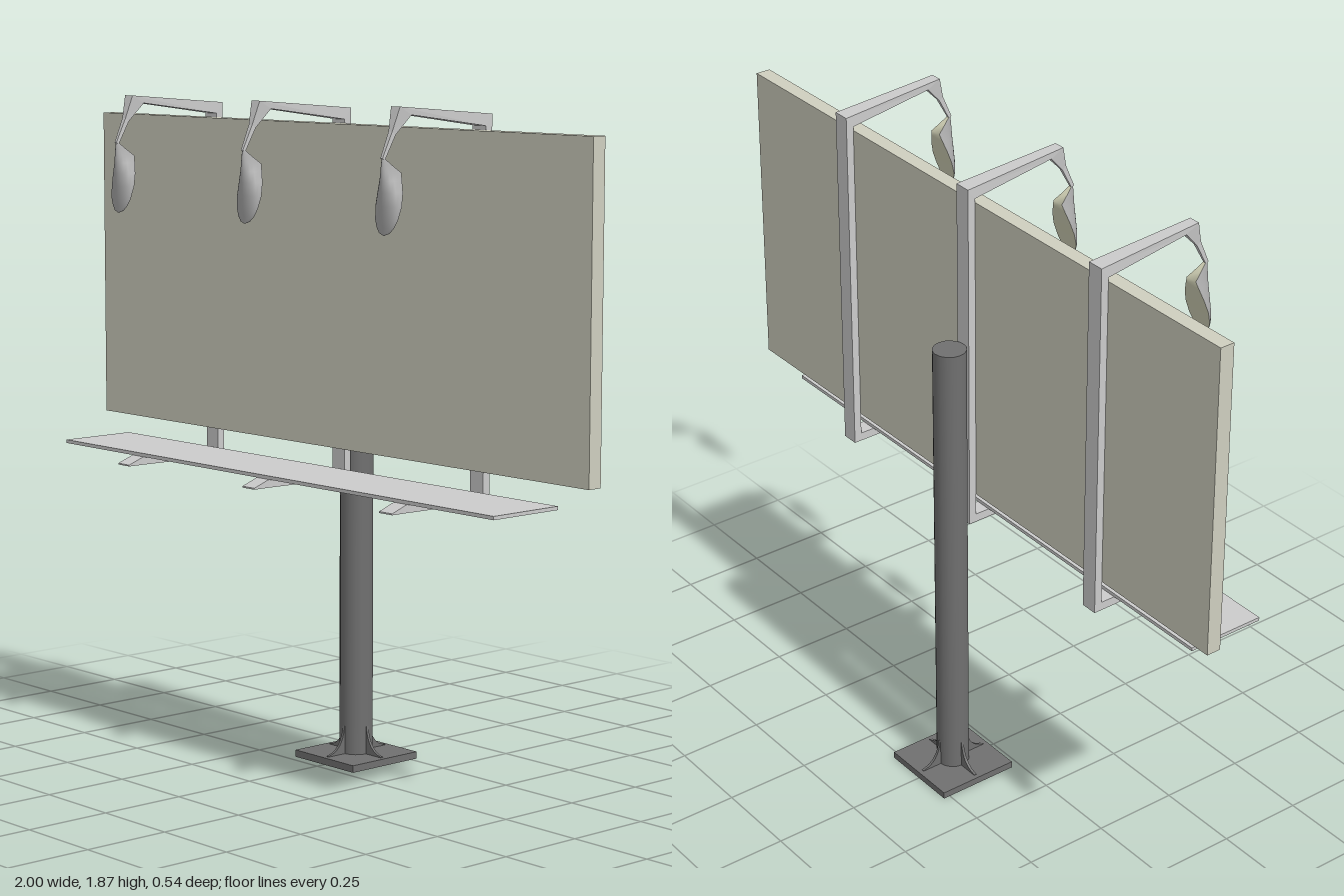
import * as THREE from 'three';

const PANEL_Z = -0.058, POLE_Z = -0.148;
const material = (color, extra = {}) => new THREE.MeshStandardMaterial({ color, ...extra });

// Skin a row of cross-sections, each a list of [x, y, z] points running counterclockwise
function loft(sections, closed) {
  const n = sections[0].length, index = [];
  for (let i = 0; i < sections.length - 1; i++) {
    for (let j = 0; j < (closed ? n : n - 1); j++) {
      const k = (j + 1) % n;
      const a = i * n + j, b = i * n + k, c = b + n, d = a + n;
      index.push(a, b, c, a, c, d);
    }
  }
  if (closed) {
    const last = (sections.length - 1) * n;
    for (let j = 1; j < n - 1; j++) index.push(0, j + 1, j, last, last + j, last + j + 1);
  }
  const geometry = new THREE.BufferGeometry();
  geometry.setAttribute('position', new THREE.Float32BufferAttribute(sections.flat(2), 3));
  geometry.setIndex(index);
  geometry.computeVertexNormals();
  return geometry;
}

export function createModel() {
  const model = new THREE.Group();
  model.name = 'billboard';
  const steel = material(0xcccccc, { flatShading: true });
  const dark = material(0x707070);
  const lampMat = material(0xaaaaaa, { side: THREE.DoubleSide });
  const lensMat = material(0xcfcfb4, { side: THREE.DoubleSide });

  const add = (parent, name, geometry, mat, x = 0, y = 0, z = 0) => {
    const mesh = new THREE.Mesh(geometry, mat);
    mesh.name = name;
    mesh.position.set(x, y, z);
    parent.add(mesh);
    return mesh;
  };

  // Display board and walkway
  add(model, 'board', new THREE.BoxGeometry(2, 0.895, 0.043), material(0xcfcfbf), 0, 1.3525, PANEL_Z);
  add(model, 'walkway', new THREE.BoxGeometry(1.784, 0.01, 0.232), steel, 0, 0.845, 0.08);

  // Pole on a square foot plate
  add(model, 'pole', new THREE.CylinderGeometry(0.047, 0.047, 1.365, 16), dark, 0, 0.6925, POLE_Z);
  add(model, 'footPlate', new THREE.BoxGeometry(0.244, 0.02, 0.244), dark, 0, 0.01, POLE_Z);

  // Four curved gussets around the foot of the pole
  const gusset = new THREE.Shape();
  gusset.moveTo(0.04, 0.018);
  gusset.lineTo(0.108, 0.018);
  gusset.lineTo(0.108, 0.022);
  gusset.quadraticCurveTo(0.055, 0.03, 0.047, 0.1);
  gusset.lineTo(0.04, 0.1);
  const gussetGeo = new THREE.ExtrudeGeometry(gusset, { depth: 0.008, bevelEnabled: false, curveSegments: 8 });
  gussetGeo.translate(0, 0, -0.004);
  for (let i = 0; i < 4; i++) {
    add(model, 'gusset', gussetGeo, dark, 0, 0, POLE_Z).rotation.y = i * Math.PI / 2;
  }

  // Bracket: walkway support, upright, top arm and tapering neck in one strip
  // [outer z, outer y, inner z, inner y, half width]
  const bracketGeo = loft([
    [0.25, 0.818, 0.25, 0.822, 0.025],
    [0.2, 0.818, 0.2, 0.84, 0.025],
    [-0.102, 0.815, -0.079, 0.84, 0.025],
    [-0.102, 1.842, -0.079, 1.811, 0.025],
    [0.22, 1.868, 0.18, 1.846, 0.017],
    [0.238, 1.805, 0.226, 1.796, 0.007],
    [0.269, 1.737, 0.26, 1.733, 0.004],
  ].map(([oz, oy, iz, iy, w]) => [[w, oy, oz], [-w, oy, oz], [-w, iy, iz], [w, iy, iz]]), true);

  // Teardrop lamp: domed shell in front, flat lens facing the board
  // [y, half width, lens z, shell z]
  const lampRows = [
    [1.54, 0.001, 0.26, 0.261],
    [1.546, 0.019, 0.258, 0.262],
    [1.56, 0.032, 0.254, 0.263],
    [1.58, 0.041, 0.249, 0.265],
    [1.615, 0.045, 0.239, 0.267],
    [1.65, 0.038, 0.229, 0.269],
    [1.68, 0.026, 0.221, 0.27],
    [1.7, 0.018, 0.216, 0.27],
    [1.72, 0.01, 0.241, 0.269],
    [1.74, 0.003, 0.264, 0.267],
  ];
  const steps = 12;
  const shellGeo = loft(lampRows.map(([y, w, back, front]) =>
    Array.from({ length: steps + 1 }, (_, i) => {
      const t = i / steps * Math.PI;
      return [-w * Math.cos(t), y, back + (front - back) * Math.sin(t)];
    })), false);
  const lensGeo = loft(lampRows.map(([y, w, back]) => [[w, y, back], [-w, y, back]]), false);

  for (const x of [-0.55, 0, 0.55]) {
    const arm = new THREE.Group();
    arm.name = 'lampBracket';
    arm.position.x = x;
    add(arm, 'bracket', bracketGeo, steel);
    add(arm, 'lampShell', shellGeo, lampMat);
    add(arm, 'lampLens', lensGeo, lensMat);
    model.add(arm);
  }
  return model;
}
